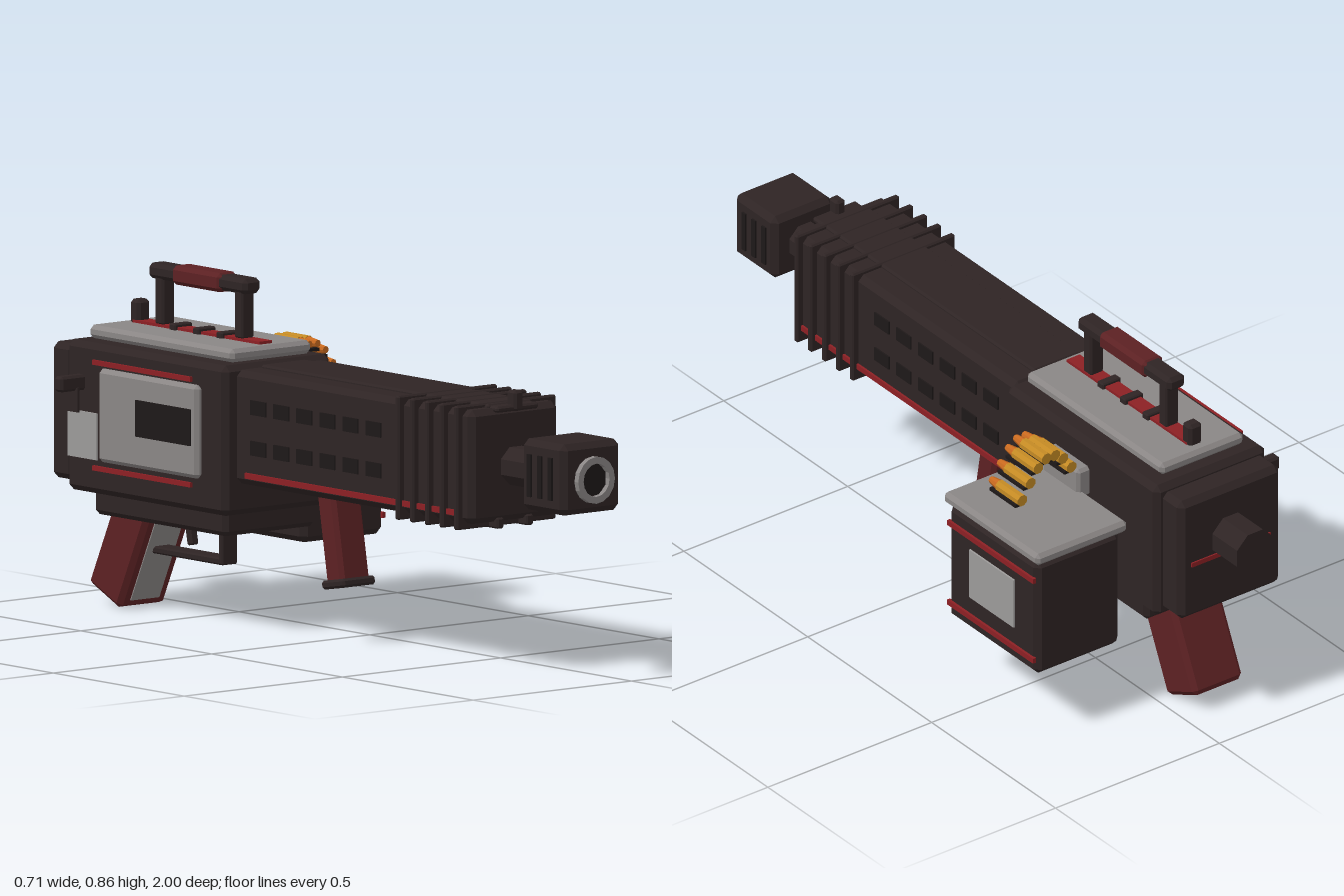
import * as THREE from 'three';
import { ConvexGeometry } from 'three/addons/geometries/ConvexGeometry.js';

const AXIS = -0.11; // x of the barrel line

function mat(name, color) {
  const m = new THREE.MeshStandardMaterial({ color });
  m.name = name;
  return m;
}

// Box with flat chamfered edges
function chamferBox(w, h, d, c) {
  const pts = [];
  for (const x of [-1, 1]) for (const y of [-1, 1]) for (const z of [-1, 1]) {
    for (let i = 0; i < 3; i++) {
      pts.push(new THREE.Vector3(
        x * (w / 2 - (i === 0 ? 0 : c)),
        y * (h / 2 - (i === 1 ? 0 : c)),
        z * (d / 2 - (i === 2 ? 0 : c))));
    }
  }
  return new ConvexGeometry(pts);
}

export function createModel() {
  const model = new THREE.Group();
  const dark = mat('dark brown metal', 0x2e2424);
  const black = mat('black recess', 0x1d1818);
  const grip = mat('dark red grip', 0x5c2123);
  const red = mat('red trim', 0x8c2024);
  const grey = mat('grey plate', 0x8a8685);
  const pale = mat('pale grey label', 0x9c9a99);
  const brass = mat('brass', 0xc48a24);
  const copper = mat('copper', 0xc8691f);

  function add(name, geo, material, x, y, z, parent = model) {
    const m = new THREE.Mesh(geo, material);
    m.name = name;
    m.position.set(x, y, z);
    parent.add(m);
    return m;
  }
  // Block given by its limits; c is the chamfer
  function block(name, material, [x0, x1], [y0, y1], [z0, z1], c = 0, parent = model) {
    const s = [x1 - x0, y1 - y0, z1 - z0];
    const geo = c ? chamferBox(...s, c) : new THREE.BoxGeometry(...s);
    return add(name, geo, material, (x0 + x1) / 2, (y0 + y1) / 2, (z0 + z1) / 2, parent);
  }
  // Octagonal rod along z
  function rod(name, material, r, x, y, z0, z1, parent = model) {
    const geo = new THREE.CylinderGeometry(r, r, z1 - z0, 8).rotateY(Math.PI / 8).rotateX(Math.PI / 2).toNonIndexed();
    geo.computeVertexNormals();
    return add(name, geo, material, x, y, (z0 + z1) / 2, parent);
  }

  // Muzzle and barrel
  block('muzzleBlock', dark, [-0.203, -0.017], [0.43, 0.605], [0.82, 0.985], 0.015);
  rod('barrel', dark, 0.05, AXIS, 0.515, 0.66, 0.83);
  const ring = new THREE.Shape().absarc(0, 0, 0.058, 0, Math.PI * 2);
  ring.holes.push(new THREE.Path().absarc(0, 0, 0.041, 0, Math.PI * 2, true));
  const ringGeo = new THREE.ExtrudeGeometry(ring, { depth: 0.02, bevelEnabled: false, curveSegments: 8 });
  add('muzzleRing', ringGeo.rotateZ(Math.PI / 8), grey, AXIS, 0.513, 0.98);
  rod('bore', black, 0.041, AXIS, 0.513, 0.975, 0.988);
  for (const side of [-1, 1]) for (let i = 0; i < 3; i++) {
    const x = AXIS + side * 0.094;
    block('muzzleSlot', black, [x - 0.004, x + 0.004], [0.465, 0.57], [0.85 + i * 0.04, 0.865 + i * 0.04]);
  }

  // Barrel shroud with rails, ribs, vents and side stripes
  block('shroud', dark, [-0.25, 0.03], [0.38, 0.66], [-0.22, 0.69], 0.015);
  block('topRail', dark, [-0.18, -0.04], [0.65, 0.668], [-0.2, 0.67], 0.005);
  for (const x of [-0.156, -0.063]) {
    block('bottomRail', dark, [x - 0.011, x + 0.011], [0.363, 0.39], [-0.14, 0.69], 0.004);
  }
  for (let i = 0; i < 5; i++) {
    const z = 0.425 + i * 0.056;
    block('coolingRib', dark, [-0.267, 0.047], [0.365, 0.67], [z - 0.008, z + 0.008], 0.004);
  }
  for (const side of [-1, 1]) {
    const x = AXIS + side * 0.141;
    block('shroudStripe', red, [x - 0.005, x + 0.005], [0.398, 0.412], [-0.17, 0.65]);
    for (const y of [0.475, 0.575]) for (let i = 0; i < 6; i++) {
      const z = -0.15 + i * 0.088;
      block('vent', black, [x - 0.003, x + 0.003], [y - 0.018, y + 0.018], [z, z + 0.058]);
    }
  }
  block('frontSightBase', dark, [-0.175, -0.043], [0.65, 0.665], [0.66, 0.7], 0.005);
  block('frontSight', dark, [-0.124, -0.096], [0.65, 0.7], [0.67, 0.705], 0.006);

  // Receiver body
  block('receiver', dark, [-0.28, 0.06], [0.3, 0.67], [-0.825, -0.215], 0.015);
  block('lowerReceiver', dark, [-0.255, 0.035], [0.245, 0.31], [-0.75, -0.245], 0.012);
  block('rearCap', dark, [-0.267, 0.043], [0.32, 0.655], [-0.9, -0.815], 0.015);
  rod('rearTube', dark, 0.06, AXIS, 0.515, -1, -0.89);
  block('rearStripe', red, [-0.23, 0.01], [0.467, 0.479], [-0.904, -0.896]);

  // Top plate, carry handle and rear sight
  block('topPlate', grey, [-0.237, 0.017], [0.672, 0.705], [-0.79, -0.24], 0.01);
  block('topStripe', red, [-0.13, -0.09], [0.7, 0.712], [-0.75, -0.265]);
  for (const z of [-0.41, -0.5, -0.59]) {
    block('stripeClip', dark, [-0.138, -0.082], [0.7, 0.72], [z - 0.012, z + 0.012], 0.003);
  }
  for (const z of [-0.347, -0.65]) {
    block('handlePost', dark, [-0.13, -0.09], [0.71, 0.84], [z - 0.016, z + 0.016], 0.005);
  }
  block('handleBar', dark, [-0.137, -0.083], [0.822, 0.86], [-0.687, -0.312], 0.01);
  block('handleGrip', grip, [-0.141, -0.079], [0.817, 0.864], [-0.592, -0.405], 0.01);
  block('rearSight', dark, [-0.13, -0.09], [0.7, 0.762], [-0.763, -0.727], 0.008);

  // Left side: cover plate, stripes, label and charging handle
  block('coverPlate', grey, [-0.3, -0.275], [0.385, 0.615], [-0.68, -0.3], 0.01);
  block('coverWindow', black, [-0.304, -0.298], [0.465, 0.555], [-0.53, -0.32]);
  for (const y of [0.37, 0.63]) {
    block('sideStripe', red, [-0.307, -0.3], [y - 0.006, y + 0.006], [-0.69, -0.315]);
  }
  block('sideLabel', pale, [-0.285, -0.278], [0.385, 0.5], [-0.81, -0.7]);
  block('chargingHandle', dark, [-0.354, -0.27], [0.552, 0.59], [-0.78, -0.75], 0.006);
  block('chargingLever', dark, [-0.308, -0.302], [0.5, 0.56], [-0.785, -0.745]);

  // Ammunition box
  const box = new THREE.Group();
  box.name = 'ammoBox';
  model.add(box);
  block('boxBody', dark, [0.085, 0.342], [0.185, 0.505], [-0.716, -0.357], 0.015, box);
  block('boxLid', grey, [0.073, 0.352], [0.507, 0.54], [-0.731, -0.348], 0.01, box);
  block('boxRim', dark, [0.095, 0.332], [0.495, 0.515], [-0.706, -0.367], 0, box);
  block('boxLatch', dark, [0.18, 0.25], [0.412, 0.47], [-0.362, -0.345], 0.006, box);
  block('boxLabel', pale, [0.34, 0.347], [0.285, 0.42], [-0.628, -0.448], 0, box);
  for (const y of [0.23, 0.457]) {
    block('boxStripe', red, [0.34, 0.349], [y - 0.007, y + 0.007], [-0.71, -0.363], 0, box);
  }
  block('feedPort', grey, [0.05, 0.095], [0.52, 0.602], [-0.555, -0.41], 0.008);

  // Ammunition belt arching into the feed port
  const belt = new THREE.Group();
  belt.name = 'ammoBelt';
  model.add(belt);
  const rounds = [[0.103, 0.61], [0.128, 0.644], [0.153, 0.662], [0.179, 0.662],
    [0.204, 0.644], [0.228, 0.61], [0.253, 0.57]];
  for (const [x, y] of rounds) {
    rod('cartridge', brass, 0.0155, x, y, -0.54, -0.45, belt);
    const tip = new THREE.CylinderGeometry(0.009, 0.014, 0.035, 8).rotateX(Math.PI / 2).toNonIndexed();
    tip.computeVertexNormals();
    add('bulletTip', tip, copper, x, y, -0.4325, belt);
    block('beltLink', black, [x - 0.014, x + 0.014], [y - 0.021, y - 0.013], [-0.53, -0.425], 0, belt);
  }

  // Rear grip with a plate on its front face
  const rearGrip = new THREE.Group();
  rearGrip.name = 'rearGrip';
  rearGrip.position.set(AXIS, 0.19, -0.725);
  rearGrip.rotation.x = THREE.MathUtils.degToRad(25);
  model.add(rearGrip);
  add('gripBody', chamferBox(0.15, 0.35, 0.132, 0.012), grip, 0, 0, 0, rearGrip);
  add('gripPlate', new THREE.BoxGeometry(0.09, 0.22, 0.006), grey, 0, -0.04, 0.066, rearGrip);

  // Front grip with its foot
  const foreGrip = new THREE.Group();
  foreGrip.name = 'foreGrip';
  foreGrip.position.set(AXIS, 0.265, 0.032);
  foreGrip.rotation.x = THREE.MathUtils.degToRad(-10);
  model.add(foreGrip);
  add('foreGripBody', chamferBox(0.092, 0.24, 0.066, 0.01), grip, 0, 0, 0, foreGrip);
  add('foreGripFoot', chamferBox(0.104, 0.022, 0.088, 0.006), dark, 0, -0.113, 0, foreGrip);

  // Trigger guard and trigger
  block('guardBar', dark, [-0.135, -0.085], [0.146, 0.164], [-0.69, -0.4], 0.004);
  block('guardPost', dark, [-0.135, -0.085], [0.15, 0.26], [-0.418, -0.4], 0.004);
  const trigger = block('trigger', dark, [-0.122, -0.098], [0.178, 0.255], [-0.56, -0.54], 0.004);
  trigger.rotation.x = -0.2;

  return model;
}
